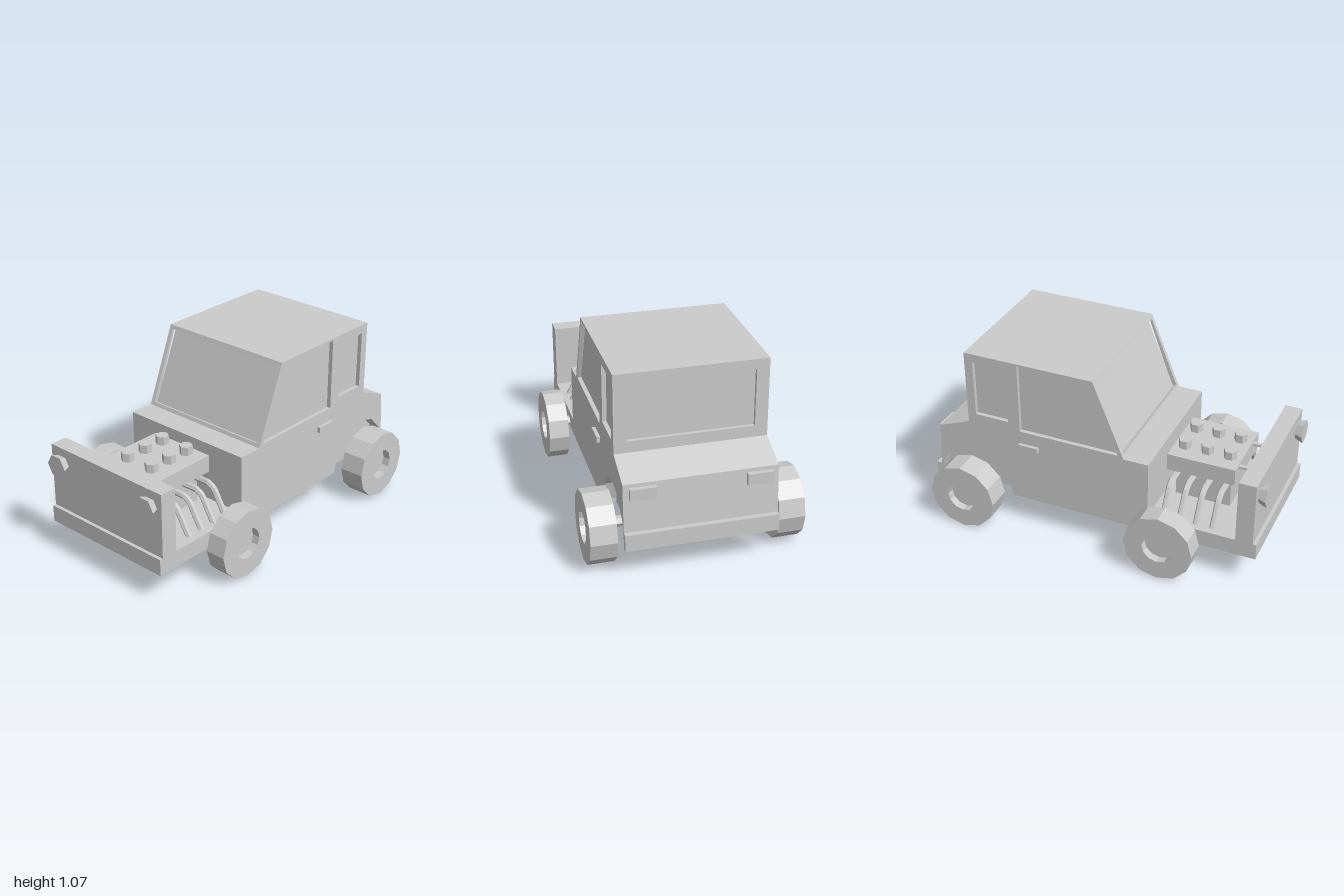
import * as THREE from 'three';

const mat = new THREE.MeshStandardMaterial({ color: 0xcccccc, flatShading: true });
const W = 0.415; // half width of the body

export function createModel() {
  const car = new THREE.Group();
  car.name = 'car';

  const add = (name, geo, x = 0, y = 0, z = 0) => {
    const m = new THREE.Mesh(geo, mat);
    m.name = name;
    m.position.set(x, y, z);
    car.add(m);
    return m;
  };
  // box given by its limits
  const box = (name, x0, x1, y0, y1, z0, z1) =>
    add(name, new THREE.BoxGeometry(x1 - x0, y1 - y0, z1 - z0), (x0 + x1) / 2, (y0 + y1) / 2, (z0 + z1) / 2);

  const poly = (pts, Type = THREE.Shape) => new Type(pts.map(p => new THREE.Vector2(...p)));
  // side profile (z, y) extruded across x0..x1
  const slab = (name, shape, x0, x1) => {
    const g = new THREE.ExtrudeGeometry(shape, { depth: x1 - x0, bevelEnabled: false });
    g.rotateY(-Math.PI / 2);
    g.translate(x1, 0, 0);
    return add(name, g);
  };

  // body profile with optional wheel arch, windscreen recess and rear window recess
  const profile = ({ arch, screen, rear }) => {
    const pts = [[0.345, 0.18], [0.345, 0.62], [0.2, 0.62]];
    if (screen) pts.push([0.192, 0.64], [0.17, 0.632], [0.006, 1.037], [0.028, 1.045]);
    pts.push([0.02, 1.067], [-0.755, 1.067]);
    if (rear) pts.push([-0.755, 1.01], [-0.735, 1.01], [-0.735, 0.685], [-0.755, 0.685]);
    pts.push([-0.755, 0.62], [-0.945, 0.545], [-0.965, 0.275], [-0.995, 0.275], [-0.995, 0.18]);
    if (arch) {
      pts.push([-0.97, 0.18]);
      for (let i = 6; i >= 0; i--) {
        const a = i * Math.PI / 6;
        pts.push([-0.735 + 0.235 * Math.cos(a), 0.205 + 0.235 * Math.sin(a)]);
      }
      pts.push([-0.5, 0.18]);
    }
    return poly(pts);
  };

  // body: core, middle layers and outer skins with window openings
  slab('bodyCore', profile({ screen: true, rear: true }), -0.345, 0.345);
  const middle = profile({ arch: true, screen: true });
  const skin = profile({ arch: true });
  skin.holes.push(
    poly([[0.165, 0.635], [0.01, 1.055], [-0.43, 1.055], [-0.43, 0.635]], THREE.Path),
    poly([[-0.5, 0.68], [-0.5, 1.015], [-0.705, 1.015], [-0.705, 0.68]], THREE.Path));
  for (const [name, shape, a, b] of [['bodyShoulder', middle, 0.345, 0.391], ['sidePanel', skin, 0.391, W]]) {
    slab(name, shape, a, b);
    slab(name, shape, -b, -a);
  }

  // front chassis and radiator
  box('frontChassis', -W, W, 0.18, 0.277, 0.345, 0.975);
  box('radiator', -W, W, 0.277, 0.653, 0.855, 0.955);

  // engine
  box('engineBlock', -0.14, 0.14, 0.277, 0.47, 0.405, 0.73);
  box('engineHead', -0.204, 0.204, 0.47, 0.57, 0.372, 0.768);
  box('gearShaft', -0.042, 0.042, 0.37, 0.43, 0.345, 0.41);
  for (const z of [0.435, 0.568, 0.7])
    for (const s of [-1, 1])
      add('intakeStack', new THREE.CylinderGeometry(0.038, 0.038, 0.05, 6), s * 0.091, 0.595, z);

  // bent exhaust pipes
  const pipePath = s => {
    const path = new THREE.CurvePath();
    const p = [[0.12, 0.435], [0.25, 0.435], [0.285, 0.41], [0.37, 0.265]]
      .map(([x, y]) => new THREE.Vector3(s * x, y, 0));
    for (let i = 0; i < 3; i++) path.add(new THREE.LineCurve3(p[i], p[i + 1]));
    return path;
  };

  for (const s of [-1, 1]) {
    for (let i = 0; i < 4; i++)
      add('exhaustPipe', new THREE.TubeGeometry(pipePath(s), 14, 0.018, 6), 0, 0, 0.42 + i * 0.096);

    // coolant hoses between head and radiator
    add('coolantHose', new THREE.CylinderGeometry(0.014, 0.014, 0.1, 6).rotateX(Math.PI / 2), s * 0.122, 0.545, 0.81);

    // lamps and handles
    add('headlight', new THREE.CylinderGeometry(0.068, 0.05, 0.047, 6).rotateY(Math.PI / 6).rotateX(Math.PI / 2),
      s * 0.333, 0.56, 0.977);
    const lamp = box('tailLight', -0.07, 0.07, 0.46, 0.525, -0.973, -0.935);
    lamp.position.x = s * 0.312;
    const handle = box('doorHandle', -0.015, 0.015, 0.523, 0.557, -0.435, -0.315);
    handle.position.x = s * 0.42;

    // wheels with sunken hubs, and their axle stubs
    for (const [name, z, x0, x1] of [['front', 0.465, 0.455, 0.572], ['rear', -0.738, 0.438, 0.584]]) {
      const h = (x1 - x0) / 2;
      const section = [[0, -h], [0.201, -h], [0.201, h], [0.09, h], [0.09, h - 0.045], [0, h - 0.045]];
      const g = new THREE.LatheGeometry(section.map(p => new THREE.Vector2(...p)), 12);
      add(name + 'Wheel', g.rotateZ(-s * Math.PI / 2), s * (x0 + h), 0.203, z);
      add(name + 'Axle', new THREE.CylinderGeometry(0.03, 0.03, 0.13, 6).rotateZ(Math.PI / 2), s * 0.4, 0.208, z);
    }
  }

  car.position.x = -0.004;
  const root = new THREE.Group();
  root.name = 'model';
  root.add(car);
  return root;
}
